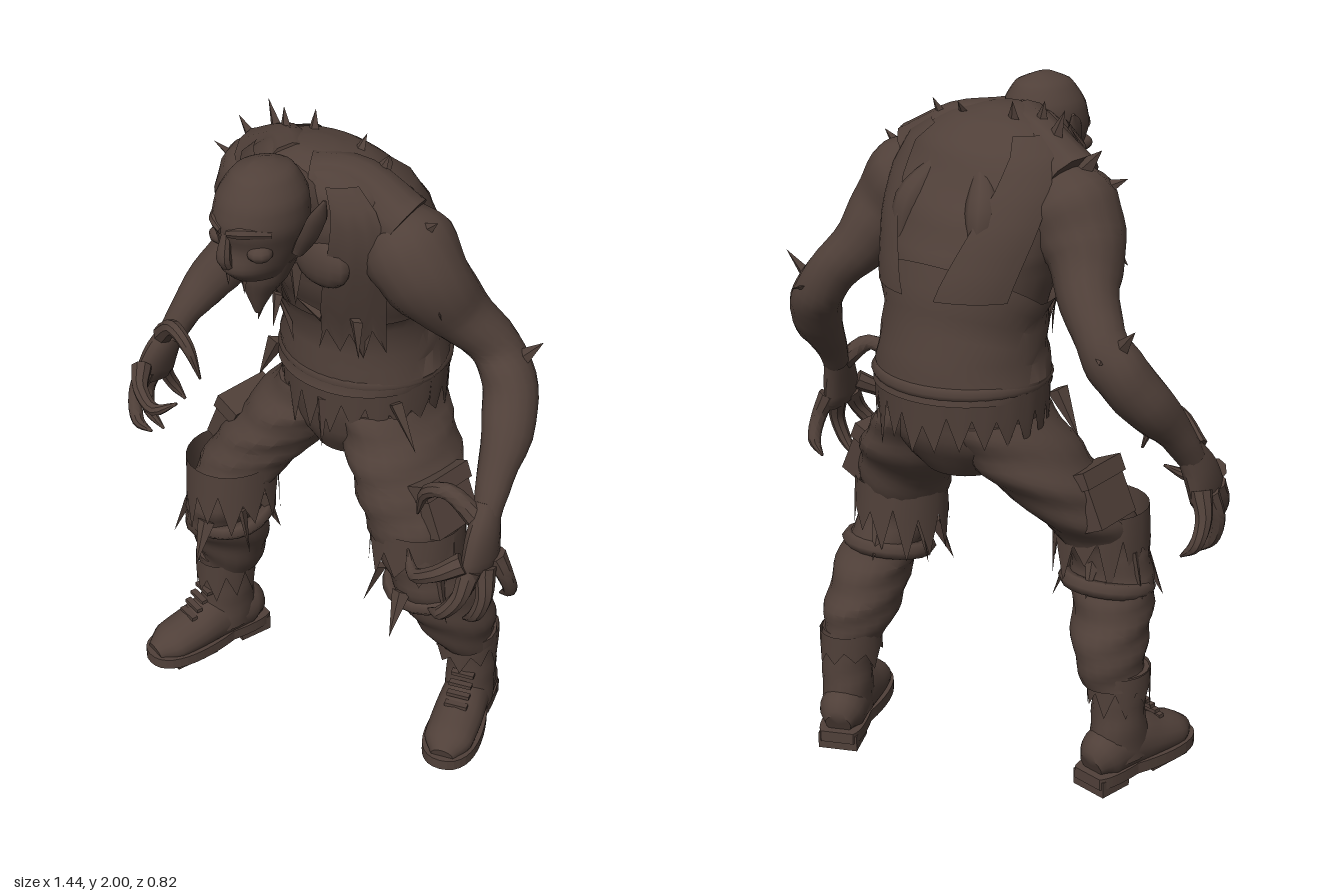
import * as THREE from 'three';
import { toCreasedNormals } from 'three/addons/utils/BufferGeometryUtils.js';

const hide = new THREE.MeshStandardMaterial({ color: 0x504039, side: THREE.DoubleSide });
hide.name = 'dark brown';

let seed = 7;
const rand = () => (seed = (seed * 16807) % 2147483647) / 2147483647;
const V = (x, y, z) => new THREE.Vector3(x, y, z);

function add(parent, name, geometry) {
  const mesh = new THREE.Mesh(geometry, hide);
  mesh.name = name;
  parent.add(mesh);
  return mesh;
}

function fromGrid(pos, index) {
  const g = new THREE.BufferGeometry();
  g.setAttribute('position', new THREE.Float32BufferAttribute(pos, 3));
  g.setIndex(index);
  return toCreasedNormals(g, 0.75);
}

// Smooth closed loft through rows of [x, y, z, radiusU, radiusV]
function loft(rows, { seg = 16, steps = 4, bump = 0, level = false, ref = V(1, 0, 0) } = {}) {
  const path = new THREE.CatmullRomCurve3(rows.map(r => V(r[0], r[1], r[2])));
  const size = new THREE.CatmullRomCurve3(rows.map(r => V(r[3], r[4] ?? r[3], 0)));
  const n = (rows.length - 1) * steps, pos = [], index = [];
  for (let i = 0; i <= n; i++) {
    const c = path.getPoint(i / n), r = size.getPoint(i / n);
    const t = level ? V(0, -1, 0) : path.getTangent(i / n);
    const u = ref.clone().addScaledVector(t, -ref.dot(t)).normalize(), v = t.clone().cross(u);
    for (let j = 0; j < seg; j++) {
      const a = j / seg * Math.PI * 2;
      const k = 1 + bump * Math.sin(c.y * 55 + 2.5 * Math.sin(a + c.y * 6) + 3 * c.x) + bump * 0.6 * Math.sin(3 * a + c.y * 17);
      const p = c.clone().addScaledVector(u, Math.cos(a) * r.x * k).addScaledVector(v, Math.sin(a) * r.y * k);
      pos.push(p.x, p.y, p.z);
      if (i < n) {
        const b = (j + 1) % seg, q = i * seg, s = q + seg;
        index.push(q + j, q + b, s + j, q + b, s + b, s + j);
      }
    }
  }
  const end = n * seg, c0 = pos.length / 3;
  pos.push(...path.getPoint(0).toArray(), ...path.getPoint(1).toArray());
  for (let j = 0; j < seg; j++) {
    const b = (j + 1) % seg;
    index.push(c0, b, j, c0 + 1, end + j, end + b);
  }
  return fromGrid(pos, index);
}

// Open sheet: at(u, v) returns a point, u along the width, v downwards
function sheet(nu, nv, at) {
  const pos = [], index = [];
  for (let i = 0; i <= nv; i++) for (let j = 0; j <= nu; j++) {
    pos.push(...at(j / nu, i / nv, j).toArray());
    if (i < nv && j < nu) {
      const a = i * (nu + 1) + j, b = a + nu + 1;
      index.push(a, b, a + 1, a + 1, b, b + 1);
    }
  }
  return fromGrid(pos, index);
}
const ragged = n => Array.from({ length: n + 1 }, (_, j) => j % 2 ? 0.7 + rand() * 0.5 : 0.3 + rand() * 0.25);

// Torn cloth hanging around an ellipse
function hem(cx, y, cz, rx, rz, drop, flare, n, a0 = 0, a1 = Math.PI * 2) {
  const rag = ragged(n);
  return sheet(n, 2, (u, v, j) => {
    const a = a1 + (a0 - a1) * u, k = 1 + flare * v;
    return V(cx + Math.cos(a) * rx * k, y - drop * rag[j] * v, cz + Math.sin(a) * rz * k);
  });
}

// Flat pointed scrap from a root along a direction
function shard(parent, name, [x, y, z, dx, dy, dz, w]) {
  const d = V(dx, dy, dz), len = d.length();
  const g = new THREE.ConeGeometry(w, len, 4).translate(0, len / 2, 0).scale(1, 1, 0.5);
  const m = add(parent, name, toCreasedNormals(g, 0.4));
  m.position.set(x, y, z);
  m.quaternion.setFromUnitVectors(V(0, 1, 0), d.normalize());
}

const BODY = [
  [0, 1.955, 0.03, 0.05, 0.05], [0, 1.93, 0.015, 0.15, 0.12], [0, 1.87, -0.01, 0.24, 0.17],
  [0, 1.78, -0.04, 0.275, 0.2], [0, 1.68, -0.075, 0.275, 0.22], [0, 1.55, -0.115, 0.25, 0.225],
  [0, 1.4, -0.155, 0.22, 0.205], [0, 1.3, -0.165, 0.23, 0.22], [0, 1.24, -0.17, 0.25, 0.23],
  [0, 1.18, -0.155, 0.235, 0.21], [0, 1.06, -0.15, 0.22, 0.19], [0, 0.96, -0.14, 0.12, 0.13]];
function bodyAt(y, a, out) {
  let i = 0;
  while (i < BODY.length - 2 && BODY[i + 1][1] > y) i++;
  const p = BODY[i], q = BODY[i + 1], t = (p[1] - y) / (p[1] - q[1]);
  const m = k => p[k] + (q[k] - p[k]) * t;
  return V(Math.cos(a) * (m(3) + out), y, m(2) + Math.sin(a) * (m(4) + out));
}

function makeBody(root) {
  const body = new THREE.Group();
  body.name = 'body';
  root.add(body);
  add(body, 'torso', loft(BODY, { seg: 32, level: true, bump: 0.012 }));
  // Torn vest: lower wrap, front and back straps
  const rag = ragged(40);
  add(body, 'vestWrap', sheet(40, 6, (u, v) => {
    const a = -u * Math.PI * 2, back = Math.max(0, -Math.sin(a));
    return bodyAt(1.47 + 0.12 * back + (1.22 - 1.47 - 0.12 * back) * v, a, 0.012 + 0.007 * Math.sin(v * 17 + 3 * Math.sin(a)));
  }));
  add(body, 'vestHem', hem(0, 1.24, -0.17, 0.255, 0.232, 0.17, -0.02, 44));
  add(body, 'beltFold', new THREE.TorusGeometry(0.24, 0.022, 6, 36).rotateX(Math.PI / 2).scale(1, 1, 0.92).translate(0, 1.25, -0.17));
  for (const s of [-1, 1]) for (const f of [-1, 1]) {
    add(body, f > 0 ? 'frontStrap' : 'backStrap', sheet(6, 10, (u, v, j) => {
      const mid = Math.PI / 2 - s * (0.95 - 0.35 * v), a = f * (mid + (u - 0.5) * (0.5 + 0.3 * v));
      const low = f > 0 ? 1.5 - 0.14 * rag[j + 2 * s + 3] : 1.5;
      return bodyAt(1.91 + (low - 1.91) * v, a, 0.022);
    }));
  }
  // Chest, collar bones and spine
  for (const s of [-1, 1]) {
    add(body, 'chestMuscle', new THREE.SphereGeometry(0.1, 14, 10).scale(1, 0.8, 0.45).translate(s * 0.1, 1.68, 0.11));
    add(body, 'shoulderBlade', loft([[s * 0.07, 1.83, -0.17, 0.02], [s * 0.12, 1.72, -0.23, 0.05], [s * 0.13, 1.6, -0.27, 0.02]], { seg: 10 }));
    add(body, 'trapezius', loft([[s * 0.03, 1.88, 0.08, 0.08], [s * 0.14, 1.87, 0.0, 0.075], [s * 0.26, 1.79, -0.03, 0.09]], { seg: 12, ref: V(0, 0, 1) }));
  }
  add(body, 'neck', loft([[0, 1.78, -0.02, 0.14, 0.13], [0.01, 1.81, 0.09, 0.12, 0.12], [0.03, 1.85, 0.21, 0.09, 0.1]]));
  for (const p of [
    [-0.2, 1.88, -0.03, -0.04, 0.1, 0, 0.03], [-0.14, 1.91, 0, -0.02, 0.08, -0.01, 0.03], [-0.08, 1.92, -0.04, -0.01, 0.07, -0.02, 0.025],
    [0.16, 1.89, -0.03, 0.03, 0.07, -0.02, 0.03], [0.08, 1.92, -0.04, 0, 0.05, -0.04, 0.025], [-0.29, 1.82, -0.03, -0.07, 0.07, 0, 0.035],
    [-0.33, 1.77, 0, -0.08, 0.04, 0.02, 0.03], [0.31, 1.78, -0.03, 0.07, 0.06, 0, 0.035], [0.24, 1.83, -0.05, 0.05, 0.04, -0.02, 0.03],
    [-0.13, 1.5, 0.1, -0.02, -0.12, 0.01, 0.025], [-0.07, 1.5, 0.11, 0, -0.1, 0.02, 0.02], [0.02, 1.65, 0.13, 0, -0.14, 0, 0.03],
    [0.18, 1.5, 0.06, 0.01, -0.12, 0, 0.025], [0.08, 1.48, 0.09, -0.09, 0.03, 0.01, 0.02], [-0.24, 1.2, -0.05, -0.06, -0.14, 0.02, 0.03],
    [0.23, 1.2, -0.05, 0.08, -0.13, 0, 0.03], [0.04, 1.18, 0.05, 0, -0.17, 0, 0.025]]) shard(body, 'tatter', p);
}

function makeHead(root) {
  const head = new THREE.Group();
  head.name = 'head';
  head.position.x = 0.03;
  root.add(head);
  add(head, 'skull', loft([
    [0, 1.998, 0.25, 0.02, 0.03], [0, 1.975, 0.25, 0.075, 0.085], [0, 1.91, 0.255, 0.115, 0.125], [0, 1.85, 0.26, 0.12, 0.135],
    [0, 1.79, 0.255, 0.105, 0.125], [0, 1.73, 0.265, 0.085, 0.125], [0, 1.695, 0.26, 0.07, 0.1]], { seg: 24, level: true }));
  add(head, 'jaw', loft([[0, 1.73, 0.24, 0.085, 0.09], [0, 1.67, 0.255, 0.065, 0.07], [0, 1.62, 0.27, 0.035, 0.04], [0, 1.56, 0.28, 0.008, 0.008]], { level: true }));
  add(head, 'nose', loft([[0, 1.84, 0.385, 0.012, 0.01], [0, 1.77, 0.395, 0.022, 0.018], [0, 1.745, 0.385, 0.02, 0.015]], { seg: 8 }));
  for (const s of [-1, 1]) {
    add(head, 'brow', loft([[s * 0.01, 1.845, 0.388, 0.012], [s * 0.05, 1.855, 0.372, 0.018], [s * 0.1, 1.85, 0.32, 0.012]], { seg: 8, ref: V(0, 1, 0) }));
    add(head, 'cheekbone', new THREE.SphereGeometry(0.035, 10, 8).scale(1, 0.7, 1).translate(s * 0.07, 1.79, 0.335));
    add(head, 'ear', loft([[s * 0.1, 1.76, 0.23, 0.015, 0.02], [s * 0.125, 1.81, 0.215, 0.014, 0.04], [s * 0.14, 1.86, 0.2, 0.012, 0.04], [s * 0.15, 1.91, 0.18, 0.004, 0.006]], { seg: 8 }));
    shard(head, 'fang', [s * 0.03, 1.7, 0.355, 0, -0.04, 0, 0.01]);
  }
}

function makeArm(root, s) {
  const arm = new THREE.Group(), dy = s > 0 ? 0 : 0.03;
  arm.name = s > 0 ? 'leftArm' : 'rightArm';
  root.add(arm);
  const put = (name, rows, opt) => add(arm, name, loft(rows.map(([x, y, ...r]) => [s * x, y, ...r]), opt));
  put('armMuscle', [[0.22, 1.77, -0.03, 0.1], [0.28, 1.71, -0.04, 0.13], [0.34, 1.62, -0.07, 0.112], [0.39, 1.53, -0.13, 0.085], [0.47, 1.43, -0.185, 0.07],
    [0.52, 1.36, -0.18, 0.076], [0.57, 1.27, -0.13, 0.075], [0.615, 1.15, -0.03, 0.05], [0.635, 1.07, 0.02, 0.04]], { bump: 0.025 });
  put('palm', [[0.63, 1.1, 0.01, 0.035, 0.04], [0.65, 1.02, 0.05, 0.036, 0.065], [0.66, 0.94 + dy / 2, 0.07, 0.028, 0.075], [0.66, 0.91 + dy / 2, 0.075, 0.015, 0.06]], { seg: 12 });
  for (const f of [
    [[0.65, 0.97, 0.13], [0.6, 0.935, 0.18], [0.53, 0.9, 0.19], [0.47, 0.93, 0.15]],
    [[0.66, 0.94, 0.11], [0.66, 0.87, 0.15], [0.62, 0.81, 0.18], [0.57, 0.79, 0.17]],
    [[0.67, 0.93, 0.06], [0.69, 0.85, 0.08], [0.67, 0.78, 0.09], [0.62, 0.73, 0.08]],
    [[0.67, 0.95, 0.02], [0.695, 0.88, 0], [0.69, 0.81, -0.03], [0.65, 0.77, -0.04]],
    [[0.635, 1.06, 0.05], [0.55, 1.13, 0.08], [0.48, 1.1, 0.09], [0.44, 1.0, 0.08]]])
    put('clawedFinger', f.map(([x, y, z], i) => [x, y + dy, z, [0.032, 0.024, 0.02, 0.004][i]]), { seg: 8, ref: V(0, 0, 1) });
  for (const [x, ...r] of [[0.53, 1.41, -0.2, 0.07, 0.08, -0.02, 0.03], [0.5, 1.4, -0.23, 0.03, 0, -0.05, 0.025], [0.38, 1.64, -0.02, 0.05, -0.06, 0.02, 0.025]])
    shard(arm, 'armSpur', [s * x, r[0], r[1], s * r[2], ...r.slice(3)]);
}

function makeLeg(root, s, rows, knee, ankle, yaw) {
  const leg = new THREE.Group();
  leg.name = s > 0 ? 'leftLeg' : 'rightLeg';
  root.add(leg);
  add(leg, 'trouserLeg', loft(rows, { seg: 20, steps: 6, level: true, bump: 0.04 }));
  const [kx, ky, kz] = knee;
  add(leg, 'tornKnee', hem(kx - s * 0.02, ky + 0.13, kz - 0.01, 0.135, 0.14, 0.2, 0.04, 24));
  add(leg, 'kneeFold', new THREE.TorusGeometry(0.118, 0.025, 6, 20).rotateX(Math.PI / 2 + 0.2).translate(kx + s * 0.015, ky - 0.1, kz - 0.03));
  for (let i = 0; i < 6; i++) {
    const a = i * 1.05 + 0.3;
    shard(leg, 'trouserShred', [kx + Math.cos(a) * 0.11, ky - 0.02 + 0.05 * Math.sin(i * 5), kz + Math.sin(a) * 0.11,
      Math.cos(a) * 0.05, -0.13, Math.sin(a) * 0.06, 0.028]);
  }
  // Side pocket with flap
  const pocket = new THREE.Group();
  pocket.name = 'sidePocket';
  pocket.position.set(s * 0.37, 0.9, rows[2][2] - 0.02);
  pocket.rotation.z = s * 0.42;
  add(pocket, 'pocketBag', new THREE.BoxGeometry(0.07, 0.16, 0.17));
  add(pocket, 'pocketFlap', new THREE.BoxGeometry(0.085, 0.05, 0.185)).position.y = 0.065;
  leg.add(pocket);
  // Boot, toe towards +z
  const boot = new THREE.Group();
  boot.name = 'boot';
  boot.position.set(ankle[0], 0, ankle[1]);
  boot.rotation.y = yaw;
  leg.add(boot);
  add(boot, 'bootShaft', loft([[0, 0.36, 0.01, 0.075, 0.085], [0, 0.26, 0, 0.075, 0.082], [0, 0.18, 0, 0.075, 0.09], [0, 0.08, 0.01, 0.075, 0.11]], { level: true, bump: 0.02 }));
  add(boot, 'bootUpper', loft([[0, 0.08, -0.115, 0.04, 0.04], [0, 0.1, -0.07, 0.07, 0.08], [0, 0.105, 0.04, 0.073, 0.09], [0, 0.09, 0.13, 0.078, 0.07],
    [0, 0.075, 0.22, 0.075, 0.055], [0, 0.06, 0.28, 0.035, 0.03]]));
  const sole = new THREE.Shape();
  sole.moveTo(-0.05, -0.13).lineTo(0.05, -0.13).quadraticCurveTo(0.075, -0.1, 0.065, 0.02)
    .bezierCurveTo(0.1, 0.15, 0.1, 0.3, 0, 0.3).bezierCurveTo(-0.1, 0.3, -0.1, 0.15, -0.065, 0.02).quadraticCurveTo(-0.075, -0.1, -0.05, -0.13);
  const soleGeo = new THREE.ExtrudeGeometry(sole, { depth: 0.035, bevelEnabled: false }).rotateX(Math.PI / 2).translate(0, 0.06, 0);
  add(boot, 'sole', soleGeo);
  add(boot, 'heelBlock', new THREE.BoxGeometry(0.12, 0.05, 0.11)).position.set(0, 0.025, -0.07);
  add(boot, 'frontTread', new THREE.BoxGeometry(0.13, 0.04, 0.15)).position.set(0, 0.026, 0.16);
  for (let i = 0; i < 4; i++)
    add(boot, 'lace', new THREE.BoxGeometry(0.07, 0.012, 0.02)).position.set(0, 0.23 - i * 0.025, 0.088 + i * 0.02);
  add(leg, 'trouserCuff', hem(ankle[0] - s * 0.01, 0.36, ankle[1] + 0.01, 0.09, 0.1, 0.12, 0, 18));
}

export function createModel() {
  const root = new THREE.Group();
  root.name = 'hunchedGhoul';
  makeBody(root);
  makeHead(root);
  makeArm(root, 1);
  makeArm(root, -1);
  makeLeg(root, 1, [[0.11, 1.14, -0.16, 0.12, 0.18], [0.19, 0.99, -0.13, 0.15, 0.18], [0.27, 0.84, -0.09, 0.14, 0.145], [0.315, 0.7, -0.08, 0.115, 0.12],
    [0.35, 0.56, -0.14, 0.112, 0.135], [0.36, 0.43, -0.2, 0.11, 0.13], [0.37, 0.32, -0.24, 0.085, 0.095]], [0.315, 0.7, -0.08], [0.38, -0.26], 0.42);
  makeLeg(root, -1, [[-0.11, 1.14, -0.15, 0.12, 0.18], [-0.19, 0.99, -0.09, 0.15, 0.18], [-0.28, 0.84, 0, 0.14, 0.15], [-0.33, 0.7, 0.08, 0.115, 0.12],
    [-0.37, 0.56, 0.06, 0.115, 0.13], [-0.39, 0.43, 0.01, 0.105, 0.12], [-0.41, 0.32, 0, 0.085, 0.095]], [-0.33, 0.7, 0.09], [-0.43, 0.01], -0.17);
  return root;
}
